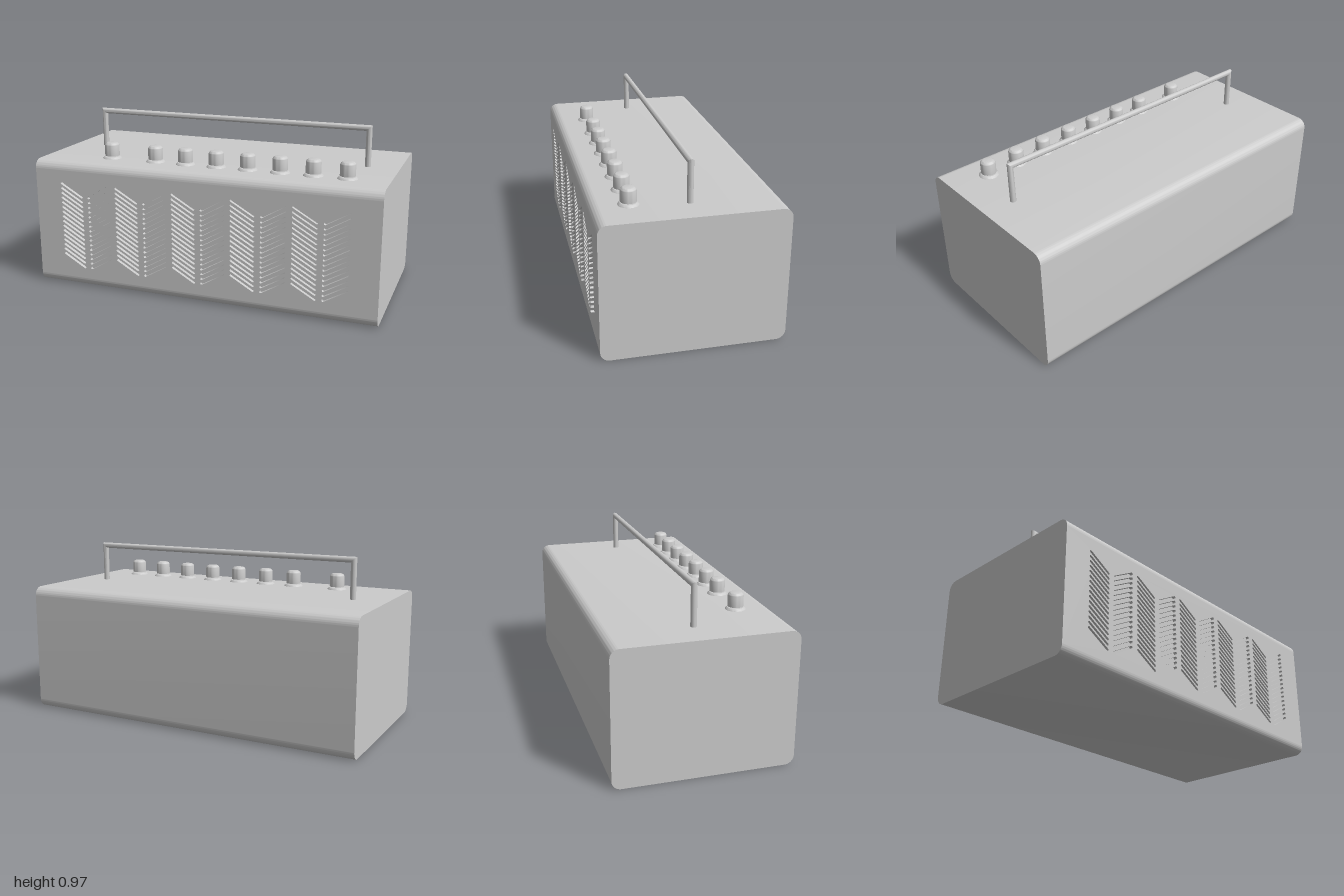
import * as THREE from 'three';
import { toCreasedNormals } from 'three/addons/utils/BufferGeometryUtils.js';

const grey = new THREE.MeshStandardMaterial({ color: 0xcccccc });
const H = 0.738, D = 0.484, R = 0.05, RECESS = 0.02;

function part(name, geometry, parent) {
  const mesh = new THREE.Mesh(geometry, grey);
  mesh.name = name;
  parent.add(mesh);
  return mesh;
}

// Rounded side profile extruded along x, with a shallow step for the front panel
function cabinetGeometry() {
  const s = new THREE.Shape();
  s.moveTo(-D + R, 0);
  s.lineTo(D - R, 0);
  s.absarc(D - R, R, R, -Math.PI / 2, 0, false);
  s.absarc(D - R, H - R, R, 0, Math.PI / 2, false);
  s.absarc(-D + R, H - R, R, Math.PI / 2, Math.PI, false);
  s.lineTo(-D + RECESS, H - R);
  s.lineTo(-D + RECESS, R);
  s.lineTo(-D, R);
  s.absarc(-D + R, R, R, Math.PI, Math.PI * 1.5, false);
  const g = new THREE.ExtrudeGeometry(s, { depth: 2, bevelEnabled: false, curveSegments: 12 });
  g.translate(0, 0, -1).rotateY(Math.PI / 2);
  return toCreasedNormals(g, 0.5);
}

// Round-ended slot between two points
function slot(ax, ay, bx, by, r) {
  const a = Math.atan2(by - ay, bx - ax), q = Math.PI / 2;
  const p = new THREE.Path();
  p.absarc(bx, by, r, a - q, a + q, false);
  p.absarc(ax, ay, r, a + q, a + 3 * q, false);
  p.closePath();
  return p;
}

// Front panel pierced by five chevron columns of slanted slots
function grilleGeometry() {
  const s = new THREE.Shape();
  s.moveTo(-1, R);
  s.lineTo(1, R);
  s.lineTo(1, H - R);
  s.lineTo(-1, H - R);
  s.closePath();
  for (let col = 0; col < 5; col++) {
    const cx = (col - 2) * 0.343;
    for (const side of [-1, 1]) {
      for (let row = 0; row < 16; row++) {
        const y = 0.613 - row * 0.0282;
        s.holes.push(slot(cx + side * 0.148, y, cx + side * 0.022, y - 0.073, 0.007));
      }
    }
  }
  const g = new THREE.ExtrudeGeometry(s, { depth: RECESS, bevelEnabled: false, curveSegments: 4 });
  g.translate(0, 0, D - RECESS);
  return toCreasedNormals(g, 0.8);
}

function lathe(points) {
  const g = new THREE.LatheGeometry(points.map(([x, y]) => new THREE.Vector2(x, y)), 32);
  return toCreasedNormals(g, 0.6);
}

// Square-cornered carrying handle with mitred round bars
function handleGeometry() {
  const r = 0.0165, n = 20, pos = [], idx = [];
  const l = -0.806, rt = 0.822, top = 0.97 - r;
  // Each section: centre x, centre y, and the in-plane direction of its width
  const sections = [[l, H - 0.01, -1, 0], [l, top, -1, 1], [rt, top, 1, 1], [rt, H - 0.01, 1, 0]];
  for (const [x, y, dx, dy] of sections) {
    for (let i = 0; i <= n; i++) {
      const a = (i / n) * Math.PI * 2, c = Math.cos(a) * r;
      pos.push(x + dx * c, y + dy * c, -0.01 + Math.sin(a) * r);
    }
  }
  for (let k = 0; k < sections.length - 1; k++) {
    for (let i = 0; i < n; i++) {
      const a = k * (n + 1) + i, b = a + n + 1;
      idx.push(a, a + 1, b, a + 1, b + 1, b);
    }
  }
  const g = new THREE.BufferGeometry();
  g.setAttribute('position', new THREE.Float32BufferAttribute(pos, 3));
  g.setIndex(idx);
  return toCreasedNormals(g, 0.6);
}

export function createModel() {
  const model = new THREE.Group();
  model.name = 'amplifier';

  part('cabinet', cabinetGeometry(), model);
  part('frontGrille', grilleGeometry(), model);
  part('handle', handleGeometry(), model);

  // Control knobs: chamfered collar, short stem and round-edged cap
  const collar = lathe([[0.055, 0], [0.053, 0.004], [0.043, 0.011], [0, 0.011]]);
  const stem = new THREE.CylinderGeometry(0.012, 0.012, 0.02, 16).translate(0, 0.012, 0);
  const capProfile = [[0, 0.016], [0.042, 0.016]];
  for (let i = 0; i <= 6; i++) {
    const a = (i / 6) * Math.PI / 2;
    capProfile.push([0.022 + 0.02 * Math.cos(a), 0.072 + 0.02 * Math.sin(a)]);
  }
  capProfile.push([0, 0.092]);
  const cap = lathe(capProfile);
  const knobXs = [-0.605];
  for (let i = 0; i < 7; i++) knobXs.push(-0.33 + i * 0.184);
  for (const x of knobXs) {
    const knob = new THREE.Group();
    knob.name = 'knob';
    part('knobCollar', collar, knob);
    part('knobStem', stem, knob);
    part('knobCap', cap, knob);
    knob.position.set(x, H, 0.29);
    model.add(knob);
  }
  return model;
}
